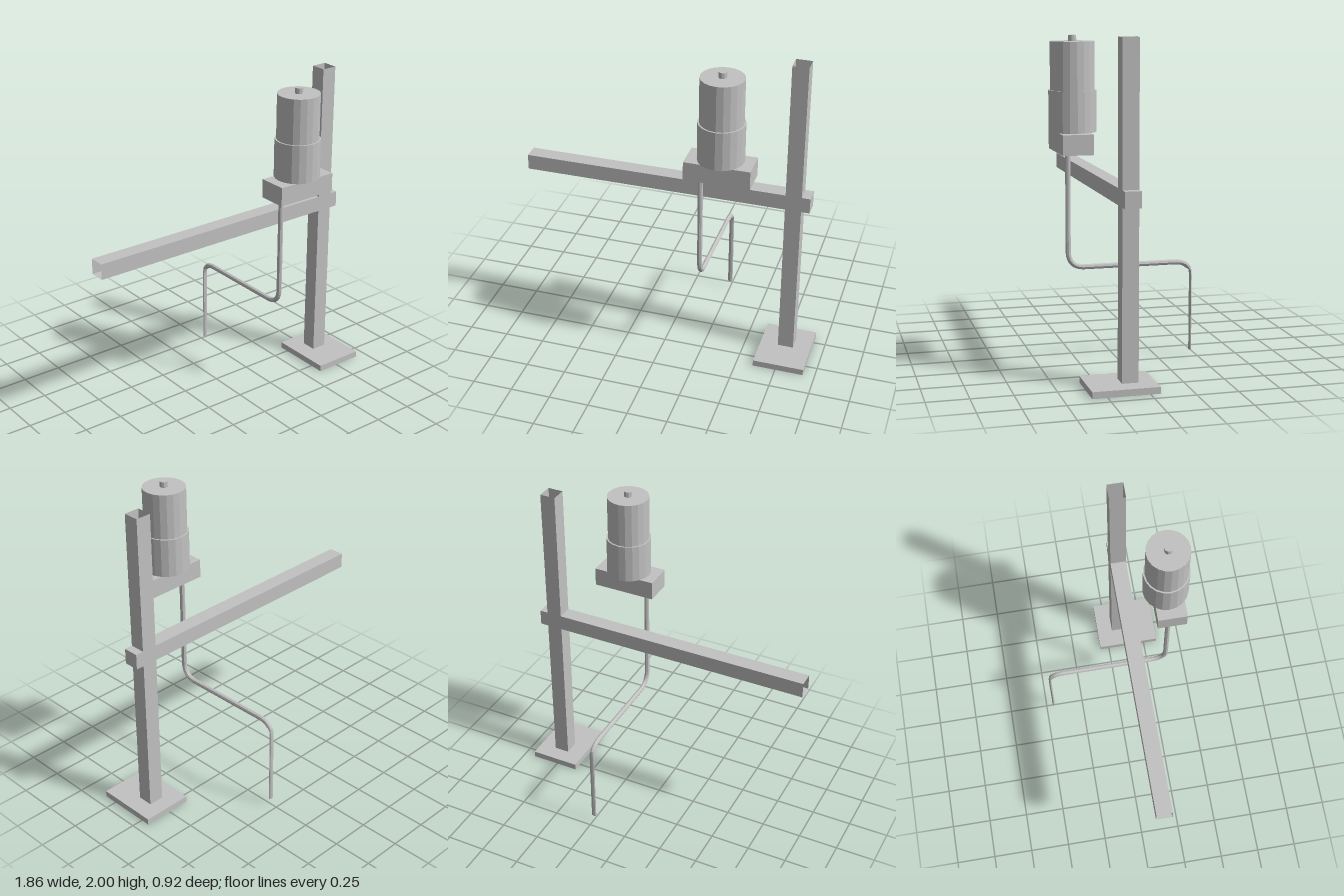
import * as THREE from 'three';

// Faceted normals for a geometry
function facet(geometry) {
  const flat = geometry.index ? geometry.toNonIndexed() : geometry;
  flat.computeVertexNormals();
  return flat;
}

export function createModel() {
  const model = new THREE.Group();
  model.name = 'meteringPumpStand';
  const steel = new THREE.MeshStandardMaterial({ color: 0xc2c2c2, side: THREE.DoubleSide });
  steel.name = 'grey steel';

  function add(name, geometry, x, y, z) {
    const mesh = new THREE.Mesh(geometry, steel);
    mesh.name = name;
    mesh.position.set(x, y, z);
    model.add(mesh);
    return mesh;
  }

  // Open, thin-walled square section standing along y
  const squareTube = (width, length) =>
    facet(new THREE.CylinderGeometry(width * Math.SQRT1_2, width * Math.SQRT1_2, length, 4, 1, true, Math.PI / 4));

  // Stand: foot plate, upright and cross beam
  add('footPlate', new THREE.BoxGeometry(0.32, 0.04, 0.4), 0.767, 0.02, 0.14);
  add('uprightPost', squareTube(0.098, 1.96), 0.769, 1.02, 0.09);
  add('crossBeam', squareTube(0.098, 1.8).rotateZ(Math.PI / 2), -0.03, 1.105, 0.09);
  add('beamEndCap', new THREE.PlaneGeometry(0.098, 0.098).rotateY(Math.PI / 2), 0.87, 1.105, 0.09);

  // Motor on its gearbox
  add('gearbox', new THREE.BoxGeometry(0.4, 0.118, 0.18), 0.368, 1.383, 0.33);
  for (const [name, radius, bottom, top, sides] of [
    ['motorLower', 0.14, 1.442, 1.684, 20],
    ['motorUpper', 0.13, 1.684, 1.965, 20],
    ['motorShaft', 0.025, 1.965, 2.0, 10],
  ]) {
    add(name, facet(new THREE.CylinderGeometry(radius, radius, top - bottom, sides)), 0.368, (top + bottom) / 2, 0.32);
  }

  // Bent rod: down from the gearbox, back, then down again
  const p = (y, z) => new THREE.Vector3(0.247, y, z);
  const path = new THREE.CurvePath();
  path.add(new THREE.LineCurve3(p(1.325, 0.322), p(0.71, 0.322)));
  path.add(new THREE.QuadraticBezierCurve3(p(0.71, 0.322), p(0.606, 0.322), p(0.606, 0.22)));
  path.add(new THREE.LineCurve3(p(0.606, 0.22), p(0.606, -0.35)));
  path.add(new THREE.QuadraticBezierCurve3(p(0.606, -0.35), p(0.606, -0.45), p(0.51, -0.45)));
  path.add(new THREE.LineCurve3(p(0.51, -0.45), p(0.045, -0.45)));
  const rod = new THREE.TubeGeometry(path, 110, 0.016, 8, false);

  // Flatten the hanging end of the rod front to back
  const pos = rod.attributes.position;
  for (let i = 0; i < pos.count; i++) {
    const z = pos.getZ(i);
    if (z < -0.42 && pos.getY(i) < 0.56) pos.setZ(i, -0.45 + (z + 0.45) * 0.5);
  }
  add('bentRod', facet(rod), 0, 0, 0);

  return model;
}
